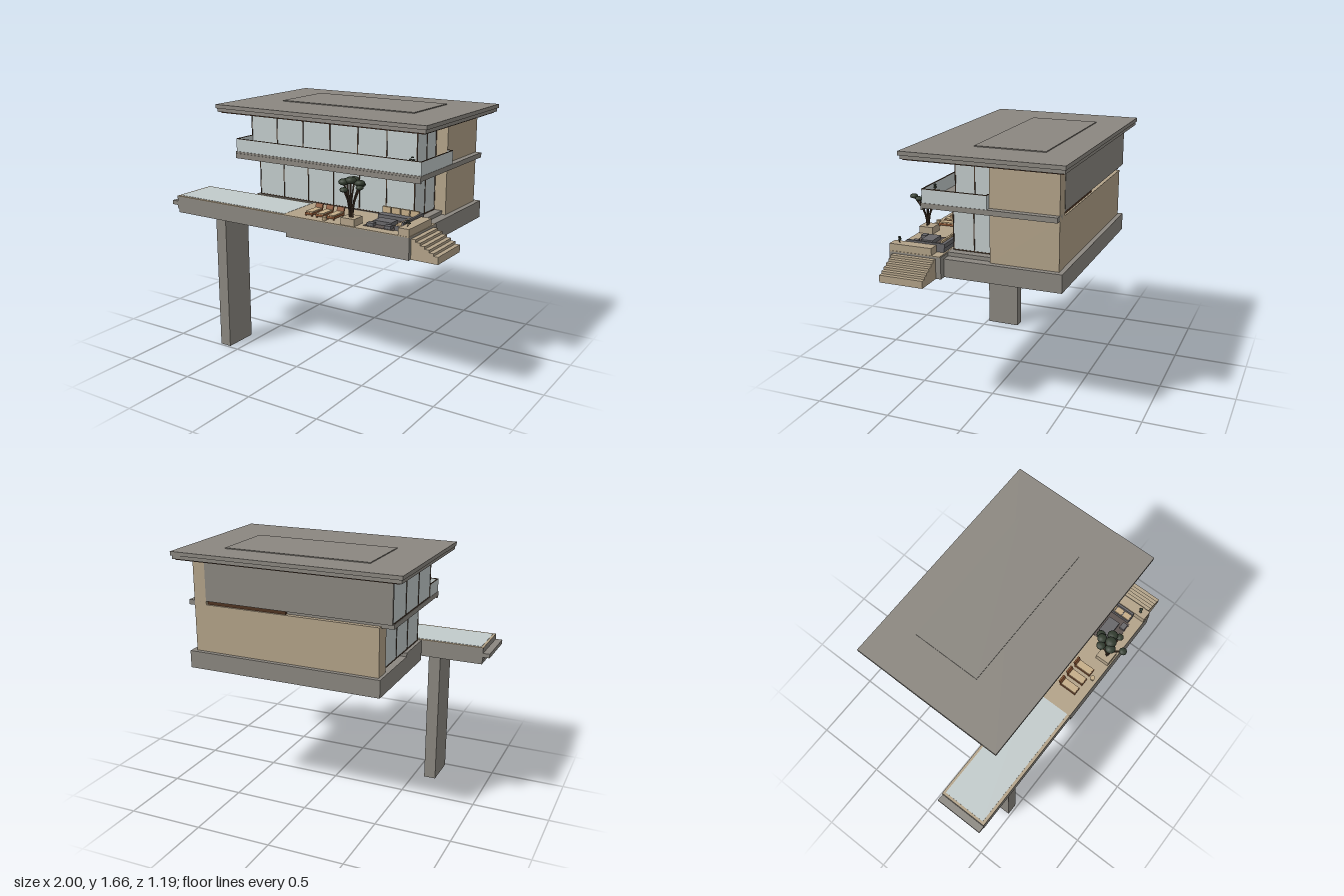
import * as THREE from 'three';

const mat = (name, color) => Object.assign(new THREE.MeshStandardMaterial({ color }), { name });

export function createModel() {
  const concrete = mat('concrete', 0x8b8780);
  const stone = mat('sandstone', 0xb3a389);
  const glass = mat('glass', 0xc2cbcb);
  const frame = mat('bronze frame', 0x4b3a2c);
  const soffitWood = mat('soffit wood', 0x4f3321);
  const leaf = mat('foliage', 0x333d30);
  const teak = mat('teak', 0x8d5836);
  const cushion = mat('cushion', 0xc5ad88);
  const charcoal = mat('charcoal', 0x68676a);
  const rugMat = mat('rug', 0x5c5350);

  const model = new THREE.Group();
  const group = (name, parent = model) => {
    const g = new THREE.Group();
    g.name = name;
    parent.add(g);
    return g;
  };
  const add = (name, geometry, material, parent = model) => {
    const m = new THREE.Mesh(geometry, material);
    m.name = name;
    parent.add(m);
    return m;
  };
  // Box given by its extents on each axis
  const box = (name, material, [x0, x1], [y0, y1], [z0, z1], parent = model) => {
    const m = add(name, new THREE.BoxGeometry(x1 - x0, y1 - y0, z1 - z0), material, parent);
    m.position.set((x0 + x1) / 2, (y0 + y1) / 2, (z0 + z1) / 2);
    return m;
  };

  // Base, terrace and pool
  box('housePlinth', concrete, [-0.54, 0.78], [0.89, 1.005], [-0.56, 0.19]);
  box('floorStep', concrete, [-0.54, 0.72], [1.005, 1.03], [-0.1, 0.19]);
  box('terrace', concrete, [-0.045, 0.825], [0.89, 1.026], [0.185, 0.528]);
  box('terraceDeck', stone, [-0.07, 0.825], [1.026, 1.031], [0.19, 0.528]);
  box('poolBasin', concrete, [-0.955, -0.045], [0.94, 1.026], [0.2, 0.528]);
  box('poolBase', concrete, [-0.95, -0.045], [0.915, 0.94], [0.205, 0.524]);
  box('poolRim', stone, [-0.955, -0.07], [1.026, 1.03], [0.2, 0.528]);
  box('poolWater', glass, [-0.938, -0.07], [1.027, 1.032], [0.216, 0.508]);
  box('overflowTrough', concrete, [-1, -0.95], [0.965, 0.993], [0.2, 0.528]);
  box('poolPillar', concrete, [-0.655, -0.575], [0, 0.915], [0.25, 0.485]);

  // Entrance stairs, one solid stepped profile
  const profile = new THREE.Shape().moveTo(0.825, 0.89);
  const steps = 6, run = 0.175 / steps, rise = 0.0158;
  profile.lineTo(0.825, 1.015);
  for (let i = 0; i < steps; i++) {
    profile.lineTo(0.825 + run * (i + 1), 1.015 - rise * i);
    if (i < steps - 1) profile.lineTo(0.825 + run * (i + 1), 1.015 - rise * (i + 1));
  }
  profile.lineTo(1, 0.89);
  add('stairs', new THREE.ExtrudeGeometry(profile, { depth: 0.285, bevelEnabled: false }), stone).position.z = 0.218;

  // Glazed room: glass body with evenly spaced mullions on front and both sides
  const glazing = (name, [x0, x1], [y0, y1], [z0, z1], sidePanes) => {
    const g = group(name);
    const w = 0.003;
    box('glassBody', glass, [x0, x1], [y0, y1], [z0, z1], g);
    const post = (x, z) => box('mullion', frame, [x - w, x + w], [y0, y1], [z - w, z + w], g);
    for (let i = 0; i <= 6; i++) post(x0 + (x1 - x0) * i / 6, z1);
    for (let i = 0; i < sidePanes; i++) post(x0, z0 + (z1 - z0) * i / sidePanes);
    post(x1, z1 - (z1 + 0.1) / 2);
    post(x1, -0.098);
    for (const y of [y0 + w, y1 - w]) {
      box('frontRail', frame, [x0, x1], [y - w, y + w], [z1 - w, z1 + w], g);
      box('rightRail', frame, [x0 - w, x0 + w], [y - w, y + w], [z0, z1], g);
      box('leftRail', frame, [x1 - w, x1 + w], [y - w, y + w], [-0.1, z1], g);
    }
  };
  glazing('lowerGlazing', [-0.515, 0.665], [1.03, 1.3], [-0.43, 0.17], 3);
  glazing('upperGlazing', [-0.595, 0.665], [1.34, 1.605], [-0.52, 0.15], 3);

  // Solid walls
  box('lowerBackWall', stone, [-0.52, 0.67], [1.005, 1.318], [-0.53, -0.42]);
  box('lowerSideWall', stone, [0.665, 0.745], [1.005, 1.31], [-0.53, -0.1]);
  box('upperSideWall', stone, [0.66, 0.745], [1.308, 1.605], [-0.53, -0.1]);
  box('upperBackWall', concrete, [-0.6, 0.66], [1.342, 1.605], [-0.532, -0.515]);
  box('backSlotTrim', soffitWood, [0.1, 0.655], [1.318, 1.342], [-0.518, -0.5]);

  // Middle slab and balcony
  box('balconySlab', concrete, [-0.6, 0.785], [1.308, 1.34], [-0.5, 0.322]);
  box('sideSlab', concrete, [0.7, 0.785], [1.308, 1.34], [-0.53, -0.5]);
  box('balconyLip', concrete, [-0.598, 0.783], [1.295, 1.328], [0.312, 0.326]);
  const rail = group('balustrade');
  const panel = (x, z) => {
    box('railGlass', glass, x, [1.34, 1.422], z, rail);
    box('railCap', frame, x, [1.422, 1.426], z, rail);
  };
  panel([-0.598, 0.782], [0.31, 0.317]);
  panel([0.775, 0.782], [-0.1, 0.31]);
  panel([-0.598, -0.591], [0.15, 0.31]);
  panel([0.745, 0.775], [-0.1, -0.093]);

  // Roof in stepped layers
  box('roofSoffit', soffitWood, [-0.655, 0.84], [1.603, 1.612], [-0.58, 0.398]);
  box('roofLower', concrete, [-0.672, 0.853], [1.61, 1.633], [-0.593, 0.412]);
  box('roofUpper', concrete, [-0.68, 0.862], [1.633, 1.658], [-0.6, 0.42]);
  box('roofPanel', concrete, [-0.4, 0.59], [1.658, 1.664], [-0.39, 0.06]);

  // Sun loungers
  const lounger = (x, y, z, len) => {
    const g = group('lounger');
    g.position.set(x, y, z);
    box('seatFrame', teak, [-0.027, 0.027], [0.008, 0.022], [-len, 0], g);
    for (const sx of [-1, 1]) for (const lz of [-0.006, -len + 0.006])
      box('leg', teak, [sx * 0.022 - 0.004, sx * 0.022 + 0.004], [0, 0.01], [lz - 0.004, lz + 0.004], g);
    box('seatCushion', cushion, [-0.023, 0.023], [0.022, 0.03], [-len, -0.004], g);
    const back = box('backrest', teak, [-0.026, 0.026], [0.02, 0.056], [-len - 0.006, -len + 0.006], g);
    back.rotation.x = -0.35;
  };
  for (const x of [0.088, 0.168, 0.248]) lounger(x, 1.031, 0.47, 0.12);
  for (const x of [-0.4, -0.31]) lounger(x, 1.34, 0.25, 0.05);
  add('sideTable', new THREE.CylinderGeometry(0.016, 0.012, 0.025, 16), cushion).position.set(0.222, 1.043, 0.495);

  // Outdoor lounge
  const lounge = group('loungeSet');
  box('rug', rugMat, [0.48, 0.685], [1.031, 1.034], [0.25, 0.465], lounge);
  box('backSofa', charcoal, [0.47, 0.745], [1.031, 1.058], [0.2, 0.275], lounge);
  box('backSofaRest', charcoal, [0.47, 0.745], [1.058, 1.085], [0.195, 0.215], lounge);
  box('sideSofa', charcoal, [0.685, 0.745], [1.031, 1.058], [0.275, 0.45], lounge);
  box('sideSofaRest', charcoal, [0.73, 0.745], [1.058, 1.085], [0.2, 0.45], lounge);
  for (let i = 0; i < 4; i++) {
    box('backCushion', cushion, [0.475 + i * 0.065, 0.533 + i * 0.065], [1.06, 1.098], [0.215, 0.23], lounge);
    if (i < 3) box('sideCushion', cushion, [0.69, 0.73], [1.058, 1.066], [0.28 + i * 0.057, 0.33 + i * 0.057], lounge);
  }
  box('coffeeTable', charcoal, [0.52, 0.64], [1.034, 1.058], [0.33, 0.41], lounge);
  for (const x of [0.5, 0.62]) box('footstool', charcoal, [x, x + 0.045], [1.034, 1.052], [0.425, 0.46], lounge);

  // Planters and small plants
  box('treePlanter', stone, [0.355, 0.45], [1.031, 1.076], [0.425, 0.52]);
  box('longPlanter', stone, [0.752, 0.822], [1.031, 1.076], [0.245, 0.526]);
  box('balconyPlanter', stone, [0.675, 0.715], [1.34, 1.4], [0.25, 0.29]);
  const blob = (name, x, y, z, r, flat, parent) => {
    const m = add(name, new THREE.IcosahedronGeometry(r, 1), leaf, parent);
    m.position.set(x, y, z);
    m.scale.set(1, flat, 1);
    m.rotation.y = x * 40;
  };
  const limb = (name, pts, r, parent) => add(name, new THREE.TubeGeometry(
    new THREE.CatmullRomCurve3(pts.map(p => new THREE.Vector3(...p))), 8, r, 6), frame, parent);
  for (const [x, y, z] of [[0.785, 1.076, 0.475], [0.695, 1.4, 0.27]]) {
    const p = group('smallPlant');
    limb('stem', [[x, y, z], [x + 0.003, y + 0.01, z], [x, y + 0.025, z]], 0.003, p);
    for (const [dx, dy, dz] of [[-0.009, 0.022, 0.004], [0.009, 0.019, -0.005], [0.002, 0.035, 0]])
      blob('leaves', x + dx, y + dy, z + dz, 0.01, 0.5, p);
  }

  // Spreading tree: every branch ends in a flattened leaf pad
  const tree = group('tree');
  const pads = [
    [0.35, 1.283, 0.44, 0.03], [0.365, 1.29, 0.5, 0.034], [0.41, 1.262, 0.57, 0.026],
    [0.4, 1.3, 0.48, 0.037], [0.45, 1.285, 0.46, 0.034], [0.475, 1.268, 0.5, 0.024],
    [0.42, 1.26, 0.395, 0.03], [0.39, 1.293, 0.42, 0.032],
  ];
  for (const [x, y, z, r] of pads) {
    limb('branch', [[0.403 + (x - 0.4) * 0.15, 1.07, 0.48], [0.4 + (x - 0.4) * 0.35, 1.16, 0.48 + (z - 0.48) * 0.25], [x, y, z]], 0.0055, tree);
    blob('leafPad', x, y, z, r, 0.6, tree);
  }
  return model;
}
